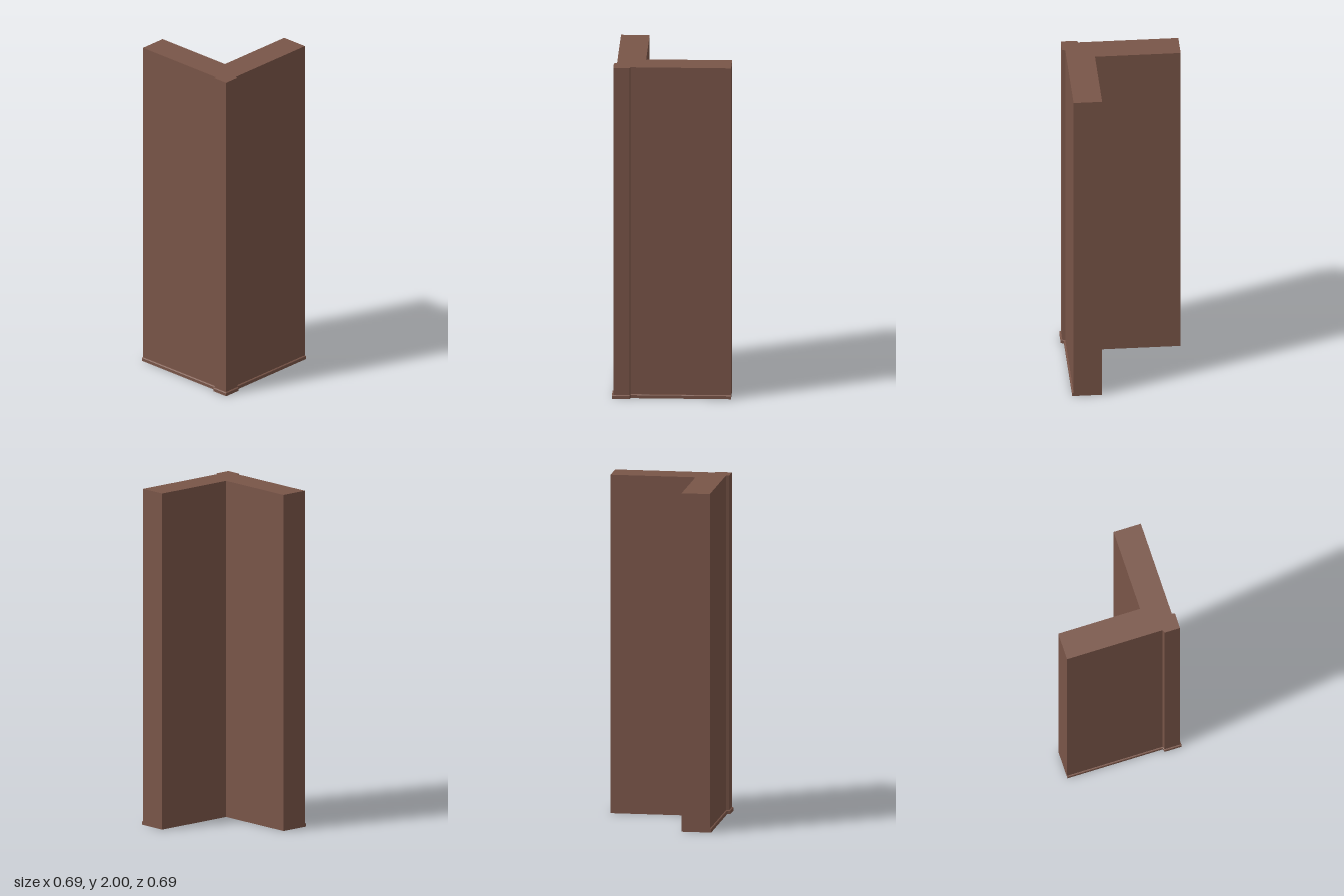
import * as THREE from 'three';

// L-shaped plan as [x, z] corners; o pushes only the two outer faces outward
function plan(o) {
  const wall = 0.318 + o, bead = 0.336 + o;
  return [
    [-0.347, wall], [0.236 - o * 0.2, wall], [0.242 - o * 0.2, bead], [bead, bead],
    [bead, 0.242 - o * 0.2], [wall, 0.236 - o * 0.2], [wall, -0.347],
    [0.152, -0.347], [0.152, 0.152], [-0.347, 0.152],
  ];
}

// Solid through a stack of levels [y, offset], from bottom to top
function loft(levels) {
  const rings = levels.map(([y, o]) => plan(o).map(([x, z]) => new THREE.Vector3(x, y, z)));
  const pos = [];
  const tri = (...pts) => pts.forEach((p) => pos.push(p.x, p.y, p.z));
  for (let k = 0; k < rings.length - 1; k++) {
    const lo = rings[k], hi = rings[k + 1];
    lo.forEach((a, i) => {
      const j = (i + 1) % lo.length;
      tri(a, lo[j], hi[j]);
      tri(a, hi[j], hi[i]);
    });
  }
  // End caps
  const cap = (ring, up) => {
    const flat = ring.map((p) => new THREE.Vector2(p.x, -p.z));
    for (const [a, b, c] of THREE.ShapeUtils.triangulateShape(flat, [])) {
      if (up) tri(ring[a], ring[b], ring[c]);
      else tri(ring[a], ring[c], ring[b]);
    }
  };
  cap(rings[0], false);
  cap(rings[rings.length - 1], true);
  const geo = new THREE.BufferGeometry();
  geo.setAttribute('position', new THREE.Float32BufferAttribute(pos, 3));
  geo.computeVertexNormals();
  return geo;
}

export function createModel() {
  const group = new THREE.Group();
  group.name = 'cornerWall';
  const material = new THREE.MeshStandardMaterial({ color: 0x795548, flatShading: true });

  // Two wall leaves with a raised corner bead, on a thin bevelled skirting
  const wall = new THREE.Mesh(
    loft([[0, 0.008], [0.018, 0.008], [0.021, 0.005], [0.022, 0], [2, 0]]), material);
  wall.name = 'wallWithCornerBeadAndSkirting';
  group.add(wall);
  return group;
}
